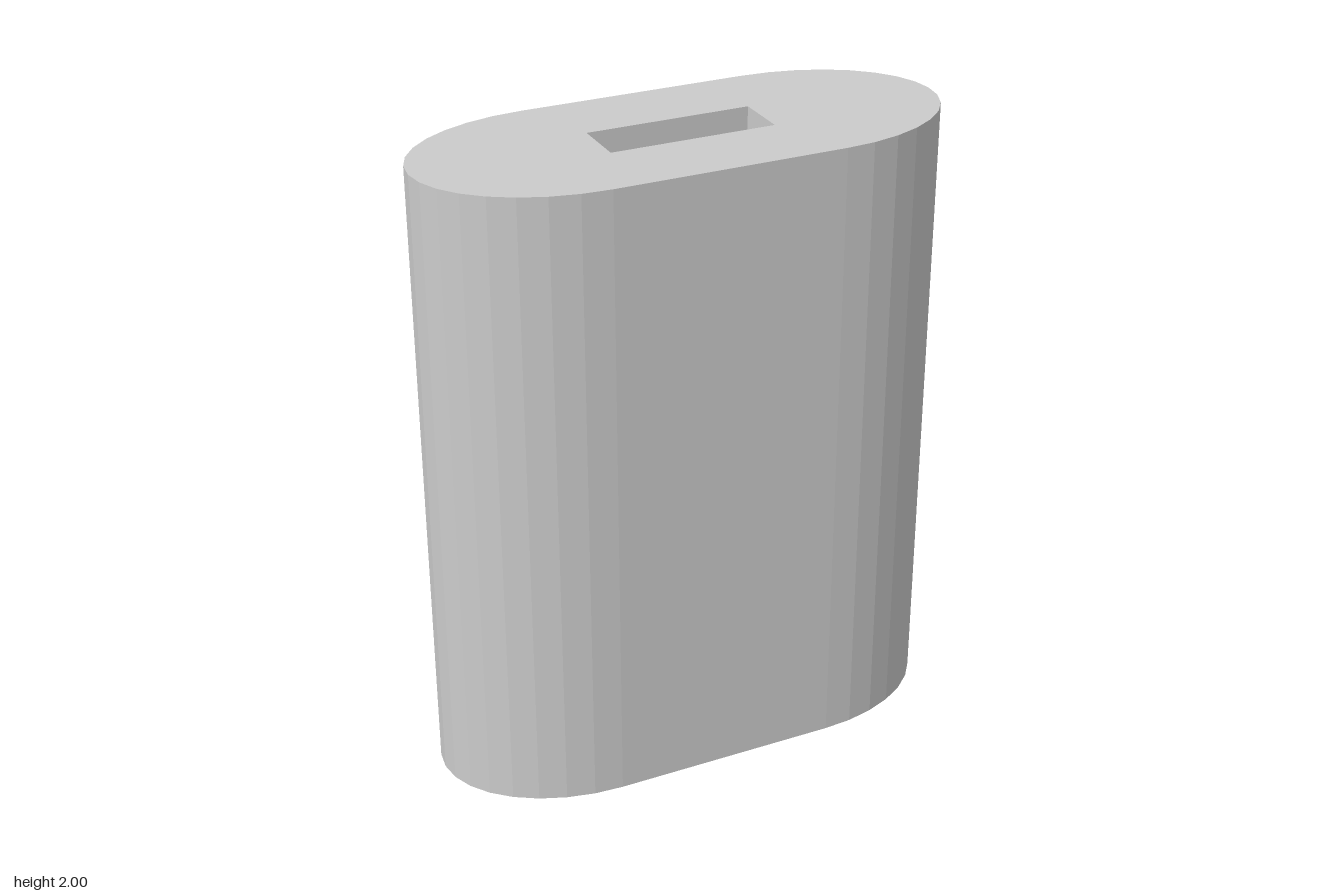
import * as THREE from 'three';

const HEIGHT = 2;
const END_X = 0.36; // centre of each rounded end
const END_RX = 0.464;
const HALF_DEPTH = 0.336;
const SLOT_W = 0.516;
const SLOT_D = 0.172;
const SLOT_DEPTH = 0.8;

export function createModel() {
  const model = new THREE.Group();
  const material = new THREE.MeshStandardMaterial({ color: 0xcccccc, flatShading: true });

  // Outline: straight sides joined by half-elliptical ends
  const outline = new THREE.Shape();
  outline.moveTo(END_X, -HALF_DEPTH);
  outline.absellipse(END_X, 0, END_RX, HALF_DEPTH, -Math.PI / 2, Math.PI / 2, false, 0);
  outline.lineTo(-END_X, HALF_DEPTH);
  outline.absellipse(-END_X, 0, END_RX, HALF_DEPTH, Math.PI / 2, Math.PI * 1.5, false, 0);
  outline.closePath();

  // Rectangular slot in the middle
  const x = SLOT_W / 2;
  const z = SLOT_D / 2;
  const slot = new THREE.Path();
  slot.moveTo(-x, -z).lineTo(-x, z).lineTo(x, z).lineTo(x, -z).closePath();
  outline.holes.push(slot);

  // Body, extruded upwards; 8 gives 16 facets on each end
  const bodyGeometry = new THREE.ExtrudeGeometry(outline, {
    depth: HEIGHT,
    bevelEnabled: false,
    curveSegments: 8,
  });
  bodyGeometry.rotateX(-Math.PI / 2);
  const body = new THREE.Mesh(bodyGeometry, material);
  body.name = 'body';
  model.add(body);

  // Solid fill under the slot: its top is the slot floor, its underside closes the base
  const fillHeight = HEIGHT - SLOT_DEPTH;
  const slotFloor = new THREE.Mesh(new THREE.BoxGeometry(SLOT_W, fillHeight, SLOT_D), material);
  slotFloor.position.y = fillHeight / 2;
  slotFloor.name = 'slotFloor';
  model.add(slotFloor);

  return model;
}
